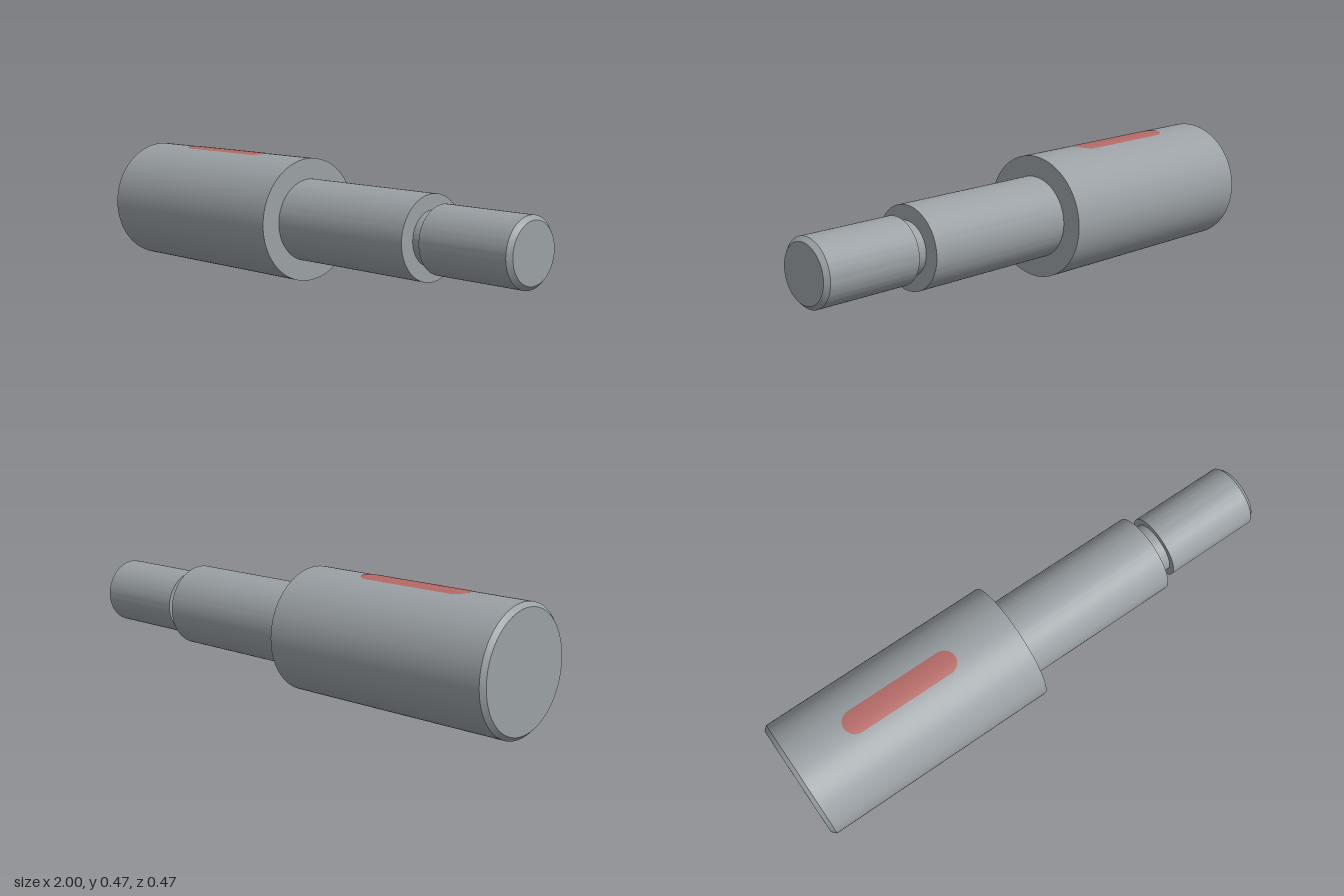
import * as THREE from 'three';
import { toCreasedNormals } from 'three/addons/utils/BufferGeometryUtils.js';

const R = 0.234; // largest shaft radius

export function createModel() {
  const model = new THREE.Group();
  model.name = 'steppedShaft';

  const steel = new THREE.MeshStandardMaterial({ color: 0x9aa0a4 });
  steel.name = 'steel grey';
  const red = new THREE.MeshStandardMaterial({ color: 0xb46a66 });
  red.name = 'muted red';

  // Turned shaft: [position along axis, radius], with chamfered ends and a relief groove
  const profile = [
    [-1, 0], [-1, R - 0.016], [-0.984, R],
    [-0.063, R], [-0.063, 0.156],
    [0.56, 0.156], [0.56, 0.1],
    [0.61, 0.1], [0.61, 0.125],
    [0.984, 0.125], [1, 0.109], [1, 0],
  ].map(([x, r]) => new THREE.Vector2(r, x));
  const shaftGeometry = toCreasedNormals(new THREE.LatheGeometry(profile, 96), 0.5);
  shaftGeometry.rotateZ(-Math.PI / 2);
  const shaft = new THREE.Mesh(shaftGeometry, steel);
  shaft.name = 'shaft';
  shaft.position.y = R;
  model.add(shaft);

  // Round-ended keyway marking wrapped over the top of the thick section
  const endRadius = 0.047, halfStraight = 0.187;
  const keyGeometry = new THREE.PlaneGeometry(2, 2, 8, 24).rotateX(-Math.PI / 2);
  const p = keyGeometry.attributes.position;
  for (let i = 0; i < p.count; i++) {
    const angle = p.getZ(i) * Math.PI / 2;
    const z = endRadius * Math.sin(angle);
    const x = p.getX(i) * (halfStraight + endRadius * Math.cos(angle));
    p.setXYZ(i, x, Math.sqrt((R + 0.001) ** 2 - z * z), z);
  }
  keyGeometry.computeVertexNormals();
  const key = new THREE.Mesh(keyGeometry, red);
  key.name = 'keyway';
  key.position.set(-0.535, R, 0);
  model.add(key);

  return model;
}
